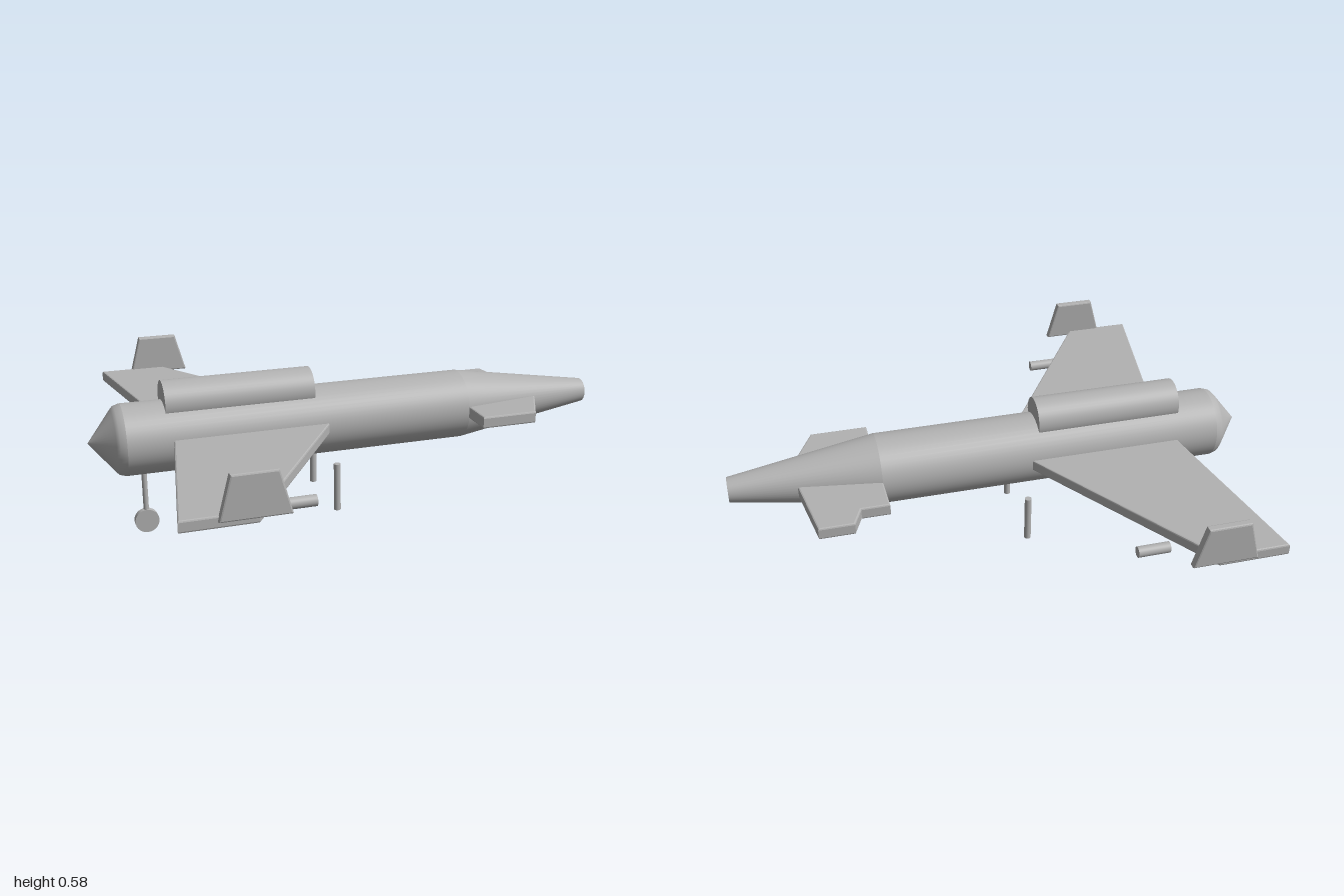
import * as THREE from 'three';

export function createModel() {
  const model = new THREE.Group();
  model.name = 'jet';
  const grey = new THREE.MeshStandardMaterial({ color: 0xb2b2b2, side: THREE.DoubleSide });
  grey.name = 'plain grey';

  const add = (name, geometry, x = 0, y = 0, z = 0) => {
    const mesh = new THREE.Mesh(geometry, grey);
    mesh.name = name;
    mesh.position.set(x, y, z);
    model.add(mesh);
    return mesh;
  };

  // Plate with softened edges, centred on its thickness
  const plate = (points, thickness) => {
    const bevel = 0.006;
    const shape = new THREE.Shape(points.map(([a, b]) => new THREE.Vector2(a, b)));
    return new THREE.ExtrudeGeometry(shape, {
      depth: thickness - 2 * bevel, bevelThickness: bevel, bevelSize: bevel,
      bevelOffset: -bevel, bevelSegments: 2,
    }).translate(0, 0, -thickness / 2 + bevel);
  };
  // Horizontal plate from [x, z] points
  const flatPlate = (points, thickness) =>
    plate(points.map(([x, z]) => [x, -z]), thickness).rotateX(-Math.PI / 2);
  const rodX = (radius, length, sides = 32) =>
    new THREE.CylinderGeometry(radius, radius, length, sides).rotateZ(Math.PI / 2);

  // Fuselage: pointed tail, straight tube, tapered open nose
  const section = (name, profile) => add(name, new THREE.LatheGeometry(
    profile.map(([x, r]) => new THREE.Vector2(r, x)), 48).rotateZ(-Math.PI / 2), 0, 0.372, 0);
  section('tailCone', [[-1, 0], [-0.91, 0.113], [-0.898, 0.126], [-0.875, 0.133]]);
  section('fuselage', [[-0.875, 0.133], [0.445, 0.133]]);
  section('nose', [[0.445, 0.133], [1, 0.047]]);

  // Rounded spine on top
  add('spine', rodX(0.08, 0.56, 40), -0.445, 0.5, 0);

  // Wings, upright tip fins, pods and main gear on both sides
  for (const s of [1, -1]) {
    const side = s > 0 ? 'Right' : 'Left';
    add('wing' + side, flatPlate(
      [[-0.703, 0.09 * s], [-0.1, 0.09 * s], [-0.58, 0.835 * s], [-0.835, 0.835 * s]], 0.042), 0, 0.372, 0);
    add('tipFin' + side, plate(
      [[-0.712, 0.375], [-0.476, 0.375], [-0.518, 0.527], [-0.672, 0.527]], 0.03), 0, 0, 0.838 * s);
    for (const z of [0.295, 0.67]) add('pod' + side, rodX(0.02, 0.118), -0.407, 0.33, z * s);
    add('mainStrut' + side, new THREE.CylinderGeometry(0.013, 0.013, 0.185, 24), -0.105, 0.145, 0.153 * s);
  }

  // Foreplanes, different on each side
  add('foreplaneLeft', flatPlate(
    [[0.443, 0], [0.443, -0.27], [0.548, -0.27], [0.582, -0.35], [0.712, -0.35], [0.752, -0.075], [0.76, 0]],
    0.046), 0, 0.372, 0);
  add('foreplaneRight', flatPlate(
    [[0.443, 0.05], [0.443, 0.263], [0.662, 0.263], [0.755, 0.075], [0.755, 0.05]], 0.046), 0, 0.372, 0);

  // Tail gear
  add('tailStrut', new THREE.CylinderGeometry(0.01, 0.01, 0.16, 24), -0.805, 0.17, 0);
  add('tailWheel', new THREE.CylinderGeometry(0.045, 0.045, 0.024, 32).rotateX(Math.PI / 2), -0.805, 0.045, 0);

  return model;
}
